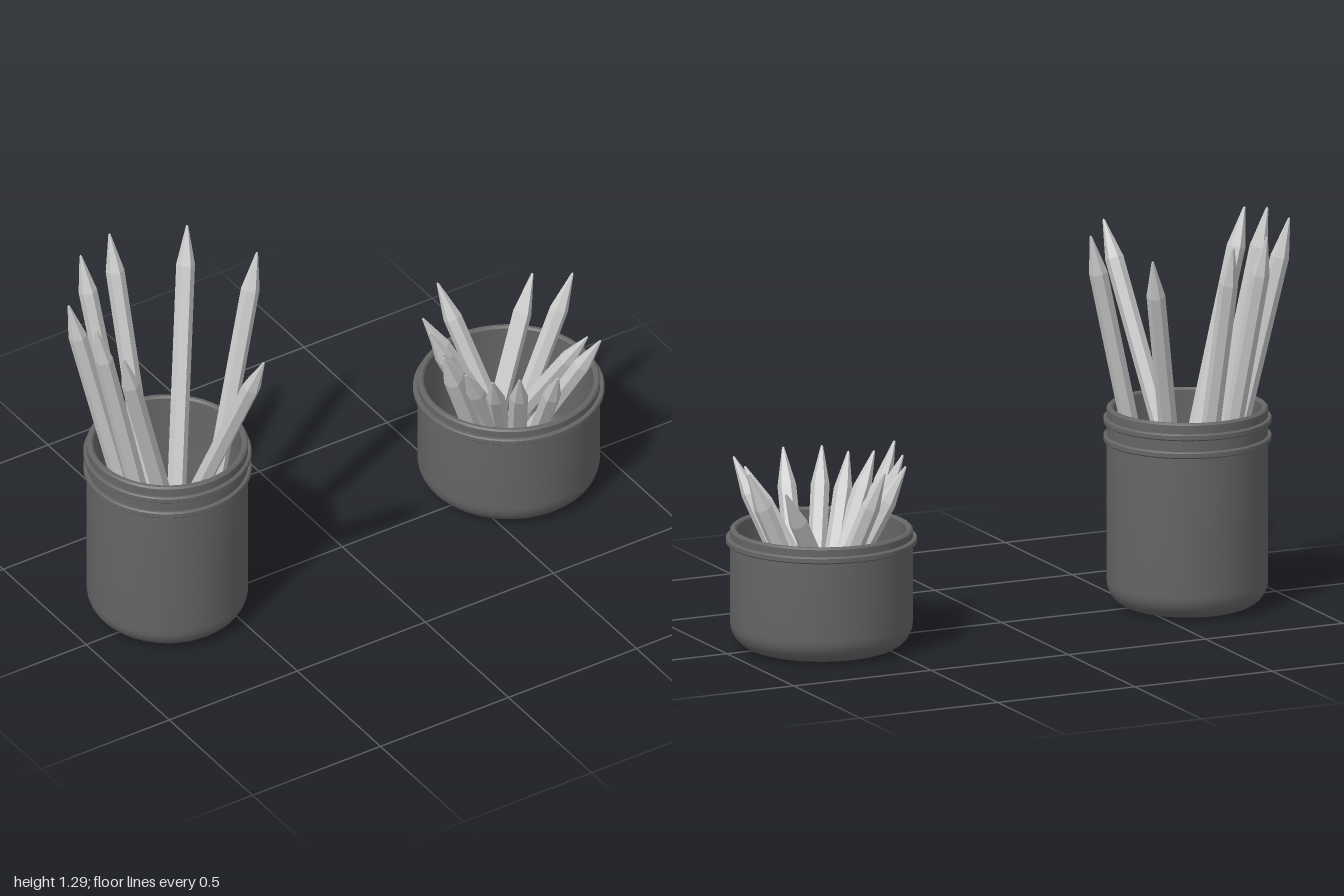
import * as THREE from 'three';
import { toCreasedNormals } from 'three/addons/utils/BufferGeometryUtils.js';

const jarMaterial = new THREE.MeshStandardMaterial({ color: 0x666666 });
const pencilMaterial = new THREE.MeshStandardMaterial({ color: 0xcccccc, flatShading: true });
const WALL = 0.022, FLOOR = 0.03;

// Quarter-circle of profile points from the flat bottom up into the wall
function corner(cx, cy, r, steps = 7) {
  return Array.from({ length: steps + 1 }, (_, i) => {
    const a = (i / steps) * Math.PI / 2;
    return new THREE.Vector2(cx + r * Math.sin(a), cy - r * Math.cos(a));
  });
}

// Open jar with rounded base, rounded lip and raised thread rings
function makeJar(name, radius, height, ringHeights, ringOut) {
  const jar = new THREE.Group();
  jar.name = name;
  const round = 0.085, inner = radius - WALL;
  const outside = [new THREE.Vector2(0, 0), ...corner(radius - round, round, round)];
  const lip = [
    new THREE.Vector2(radius, height - 0.006), new THREE.Vector2(radius - 0.006, height),
    new THREE.Vector2(inner + 0.006, height), new THREE.Vector2(inner, height - 0.006),
  ];
  const r = round - WALL;
  const inside = [...corner(inner - r, FLOOR + r, r).reverse(), new THREE.Vector2(0, FLOOR)];
  const body = new THREE.LatheGeometry([...outside, ...lip, ...inside], 48);
  const bodyMesh = new THREE.Mesh(toCreasedNormals(body, 0.6), jarMaterial);
  bodyMesh.name = name + 'Body';
  jar.add(bodyMesh);

  for (const y of ringHeights) {
    const profile = [[-0.004, -0.011], [ringOut - 0.004, -0.011], [ringOut, -0.007],
      [ringOut, 0.007], [ringOut - 0.004, 0.011], [-0.004, 0.011]]
      .map(([x, dy]) => new THREE.Vector2(radius + x, y + dy));
    const ring = new THREE.Mesh(toCreasedNormals(new THREE.LatheGeometry(profile, 48), 0.6), jarMaterial);
    ring.name = name + 'Ring';
    jar.add(ring);
  }
  return jar;
}

// Hexagonal pencil: flat end, straight shaft and sharpened point
function pencilGeometry(length) {
  const r = 0.031, tip = 0.135;
  const profile = [[0, 0], [r, 0], [r, length - tip], [0.004, length - 0.004], [0, length]]
    .map(([x, y]) => new THREE.Vector2(x, y));
  return new THREE.LatheGeometry(profile, 6);
}

// Each row: tip x, y, z, then the x, z its foot points towards
function addPencils(jar, name, length, rows) {
  const geometry = pencilGeometry(length);
  const up = new THREE.Vector3(0, 1, 0);
  const footY = 0.045;
  rows.forEach(([x, y, z, tx, tz], i) => {
    const tip = new THREE.Vector3(x, y, z);
    const reach = Math.sqrt(Math.max(0, length ** 2 - (y - footY) ** 2));
    const heading = new THREE.Vector3(tx - x, 0, tz - z).setLength(reach);
    const foot = tip.clone().add(heading).setY(footY);
    const pencil = new THREE.Mesh(geometry, pencilMaterial);
    pencil.name = name + (i + 1);
    pencil.position.copy(foot);
    pencil.quaternion.setFromUnitVectors(up, tip.sub(foot).normalize());
    jar.add(pencil);
  });
}

export function createModel() {
  const model = new THREE.Group();
  model.name = 'pencilJars';

  // Tall jar with long pencils
  const tall = makeJar('tallJar', 0.265, 0.67, [0.565, 0.625], 0.011);
  tall.position.set(-0.66, 0, -0.035);
  const longPencils = new THREE.Group();
  longPencils.name = 'longPencils';
  addPencils(longPencils, 'longPencil', 1.28, [
    [-0.565, 1.215, 0.4, -0.7, -0.09],
    [-0.3, 1.283, -0.05, -0.6, 0.04],
    [-0.385, 1.25, -0.34, -0.64, -0.03],
    [-0.65, 1.283, -0.4, -0.65, -0.08],
    [-0.8, 1.29, -0.343, -0.71, -0.07],
    [-0.985, 1.29, -0.13, -0.7, -0.04],
    [-0.985, 1.29, 0.035, -0.7, 0.02],
    [-0.975, 1.26, 0.185, -0.63, 0.04],
  ]);

  // Short jar with stubby pencils
  const short = makeJar('shortJar', 0.3, 0.4, [0.36], 0.014);
  short.position.set(0.673, 0, -0.035);
  const shortPencils = new THREE.Group();
  shortPencils.name = 'shortPencils';
  addPencils(shortPencils, 'shortPencil', 0.65, [
    [0.655, 0.6, 0.29, 0.75, -0.05],
    [0.54, 0.605, 0.235, 0.71, -0.05],
    [0.47, 0.59, 0.18, 0.68, -0.07],
    [0.41, 0.6, 0.11, 0.66, -0.03],
    [0.37, 0.645, 0.04, 0.64, -0.06],
    [0.4, 0.62, -0.01, 0.66, -0.09],
    [0.415, 0.635, -0.117, 0.65, -0.1],
    [0.45, 0.62, -0.21, 0.68, -0.13],
    [0.585, 0.638, -0.33, 0.7, -0.14],
    [0.915, 0.587, -0.264, 0.65, -0.11],
    [0.99, 0.636, -0.137, 0.72, -0.12],
    [0.88, 0.61, 0.2, 0.7, -0.09],
    [0.87, 0.59, 0.137, 0.72, -0.1],
  ]);

  model.add(tall, longPencils, short, shortPencils);
  return model;
}
